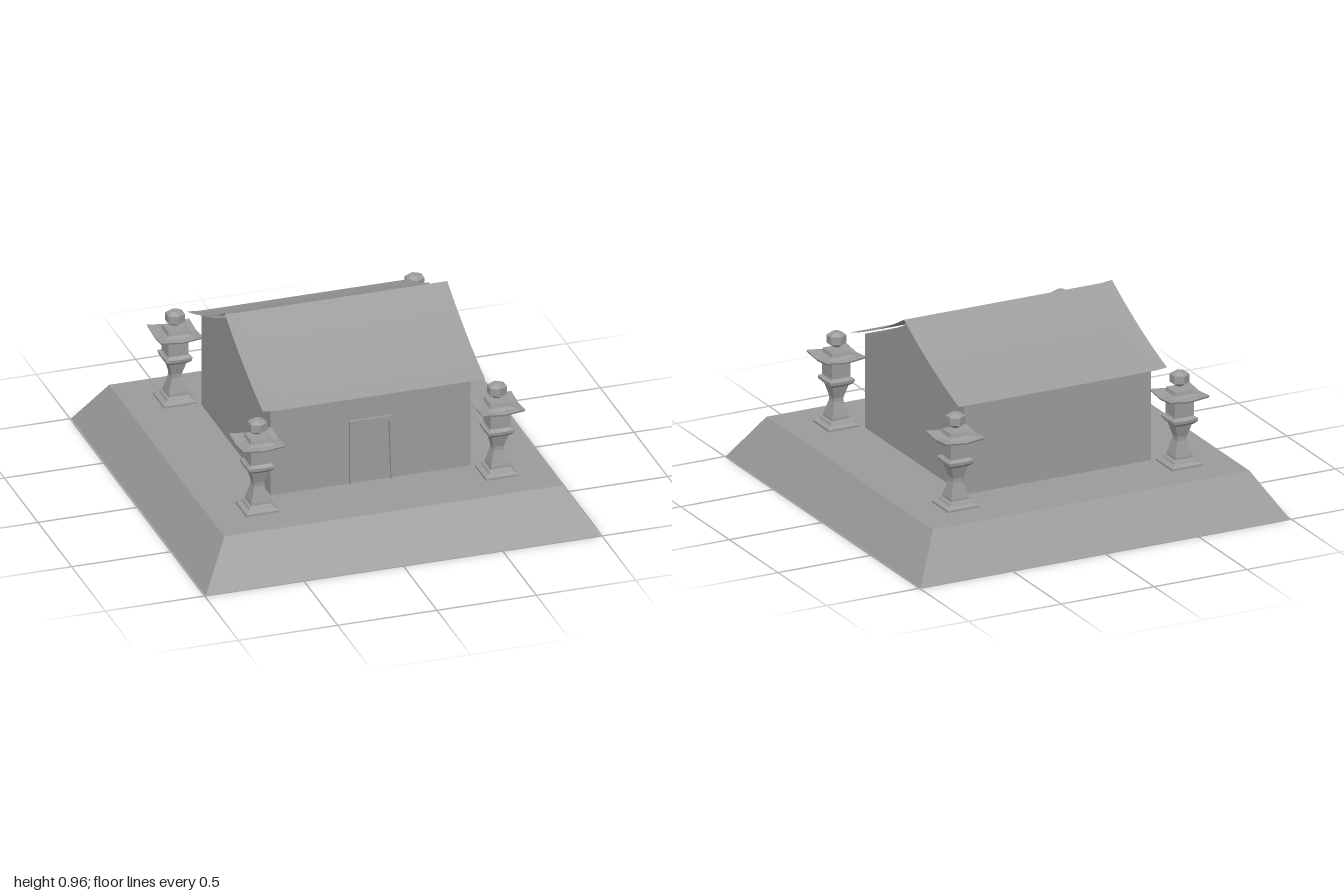
import * as THREE from 'three';

const STONE = 0x9b9b9b;
const flat = new THREE.MeshStandardMaterial({ color: STONE, flatShading: true, side: THREE.DoubleSide });
const smooth = new THREE.MeshStandardMaterial({ color: STONE, side: THREE.DoubleSide });

const PLATFORM_TOP = 0.225, HOUSE_X = 0.503, HOUSE_Z = 0.51, ROOF_X = 0.56, ROOF_Z = 0.565;

function add(parent, name, geometry, material = flat) {
  const mesh = new THREE.Mesh(geometry, material);
  mesh.name = name;
  parent.add(mesh);
  return mesh;
}

// Square rings stacked along a [half width, y] profile; corners may be lifted
function squareLathe(profile, lift = 0) {
  const geo = new THREE.LatheGeometry(profile.map(p => new THREE.Vector2(...p)), 8);
  const pos = geo.attributes.position;
  const widest = Math.max(...profile.map(p => p[0]));
  for (let i = 0; i < pos.count; i++) {
    const x = pos.getX(i), z = pos.getZ(i), r = Math.hypot(x, z);
    if (r < 1e-6) continue;
    const k = r / Math.max(Math.abs(x), Math.abs(z));
    const corner = k > 1.2 ? lift * (r / widest) ** 3 : 0;
    pos.setXYZ(i, x * k, pos.getY(i) + corner, z * k);
  }
  geo.computeVertexNormals();
  return geo;
}

// Sagging roof height at distance z from the ridge
function roofHeight(z) {
  const t = Math.abs(z) / ROOF_Z;
  return 0.956 - 0.256 * t - 0.072 * t * (1 - t);
}

function rectanglePath(cx, cy, w, h) {
  return new THREE.Path([[-w, -h], [-w, h], [w, h], [w, -h]].map(([x, y]) => new THREE.Vector2(cx + x, cy + y)));
}

const lanternSpots = [-1, 1].flatMap(sx => [-1, 1].map(sz => [sx * 0.603, sz * 0.612]));

function makePlatform() {
  const platform = new THREE.Group();
  platform.name = 'platform';
  add(platform, 'slopedSides', squareLathe([[1, 0], [0.856, PLATFORM_TOP]]).scale(0.995, 1, 1));
  // Deck is open beneath the house and the hollow lanterns
  const deck = new THREE.Shape(rectanglePath(0, 0, 0.852, 0.856).getPoints());
  deck.holes.push(rectanglePath(0, 0, HOUSE_X, HOUSE_Z));
  for (const [x, z] of lanternSpots) deck.holes.push(rectanglePath(x, z, 0.083, 0.083));
  const geo = new THREE.ShapeGeometry(deck).rotateX(-Math.PI / 2).translate(0, PLATFORM_TOP, 0);
  add(platform, 'deck', geo);
  return platform;
}

function makeHouse() {
  const house = new THREE.Group();
  house.name = 'house';

  // Front and back walls
  const eave = roofHeight(HOUSE_Z) - 0.015, wallHeight = eave - PLATFORM_TOP;
  for (const [name, side, turn] of [['frontWall', 1, 0], ['backWall', -1, Math.PI]]) {
    const wall = add(house, name, new THREE.PlaneGeometry(2 * HOUSE_X, wallHeight));
    wall.position.set(0, PLATFORM_TOP + wallHeight / 2, side * HOUSE_Z);
    wall.rotation.y = turn;
  }

  // Gable walls follow the sag of the roof
  const gable = new THREE.Shape();
  gable.moveTo(-HOUSE_Z, PLATFORM_TOP);
  gable.lineTo(HOUSE_Z, PLATFORM_TOP);
  for (let i = 0; i <= 16; i++) {
    const z = HOUSE_Z * (1 - i / 8);
    gable.lineTo(z, roofHeight(z) - 0.015);
  }
  for (const [name, side] of [['leftGable', 1], ['rightGable', -1]]) {
    const wall = add(house, name, new THREE.ShapeGeometry(gable));
    wall.rotation.y = side * Math.PI / 2;
    wall.position.x = side * HOUSE_X;
  }

  // Two thin curved slopes meeting at the ridge, flared up a little at the right end
  for (const [name, side] of [['frontRoof', 1], ['backRoof', -1]]) {
    const geo = new THREE.PlaneGeometry(2 * ROOF_X, ROOF_Z, 20, 12).rotateX(-Math.PI / 2)
      .translate(0, 0, side * ROOF_Z / 2);
    const pos = geo.attributes.position;
    for (let i = 0; i < pos.count; i++) {
      const flare = Math.max(0, -pos.getX(i) - 0.5) / (ROOF_X - 0.5);
      pos.setY(i, roofHeight(pos.getZ(i)) + 0.006 * flare);
    }
    geo.computeVertexNormals();
    add(house, name, geo, smooth);
  }

  // Door frame standing proud of the front wall, its jambs narrowing downwards
  const frame = new THREE.Shape([[-0.108, 0.225], [-0.1, 0.225], [-0.091, 0.537], [0.091, 0.537],
    [0.1, 0.225], [0.108, 0.225], [0.108, 0.56], [-0.108, 0.56]].map(p => new THREE.Vector2(...p)));
  const doorFrame = new THREE.ExtrudeGeometry(frame, { depth: 0.022, bevelEnabled: false });
  add(house, 'doorFrame', doorFrame).position.z = HOUSE_Z - 0.005;
  return house;
}

function makeLantern() {
  const lantern = new THREE.Group();
  lantern.name = 'stoneLantern';
  add(lantern, 'pedestal', squareLathe([
    [0.083, 0.224], [0.083, 0.236], [0.062, 0.246], [0.056, 0.258], [0.047, 0.262], [0.046, 0.275],
    [0.026, 0.35], [0.026, 0.37], [0.043, 0.43],
  ]));
  add(lantern, 'middleShelf', squareLathe([
    [0.043, 0.43], [0.052, 0.435], [0.064, 0.447], [0.066, 0.462], [0.056, 0.468], [0.05, 0.475],
  ], 0.004));
  add(lantern, 'fireBox', squareLathe([[0.05, 0.47], [0.05, 0.568]]));
  add(lantern, 'lanternRoof', squareLathe([
    [0.05, 0.56], [0.07, 0.559], [0.103, 0.566], [0.107, 0.575], [0.072, 0.578],
    [0.052, 0.588], [0.047, 0.608], [0, 0.608],
  ], 0.012));
  // Six-sided finial
  const finial = [[0, 0.62], [0.02, 0.624], [0.048, 0.642], [0.048, 0.682], [0.022, 0.697], [0, 0.697]];
  add(lantern, 'finial', new THREE.LatheGeometry(finial.map(p => new THREE.Vector2(...p)), 6));
  return lantern;
}

export function createModel() {
  const model = new THREE.Group();
  model.name = 'shrine';
  model.add(makePlatform(), makeHouse());
  for (const [x, z] of lanternSpots) {
    const lantern = makeLantern();
    lantern.position.set(x, 0, z);
    model.add(lantern);
  }
  return model;
}
